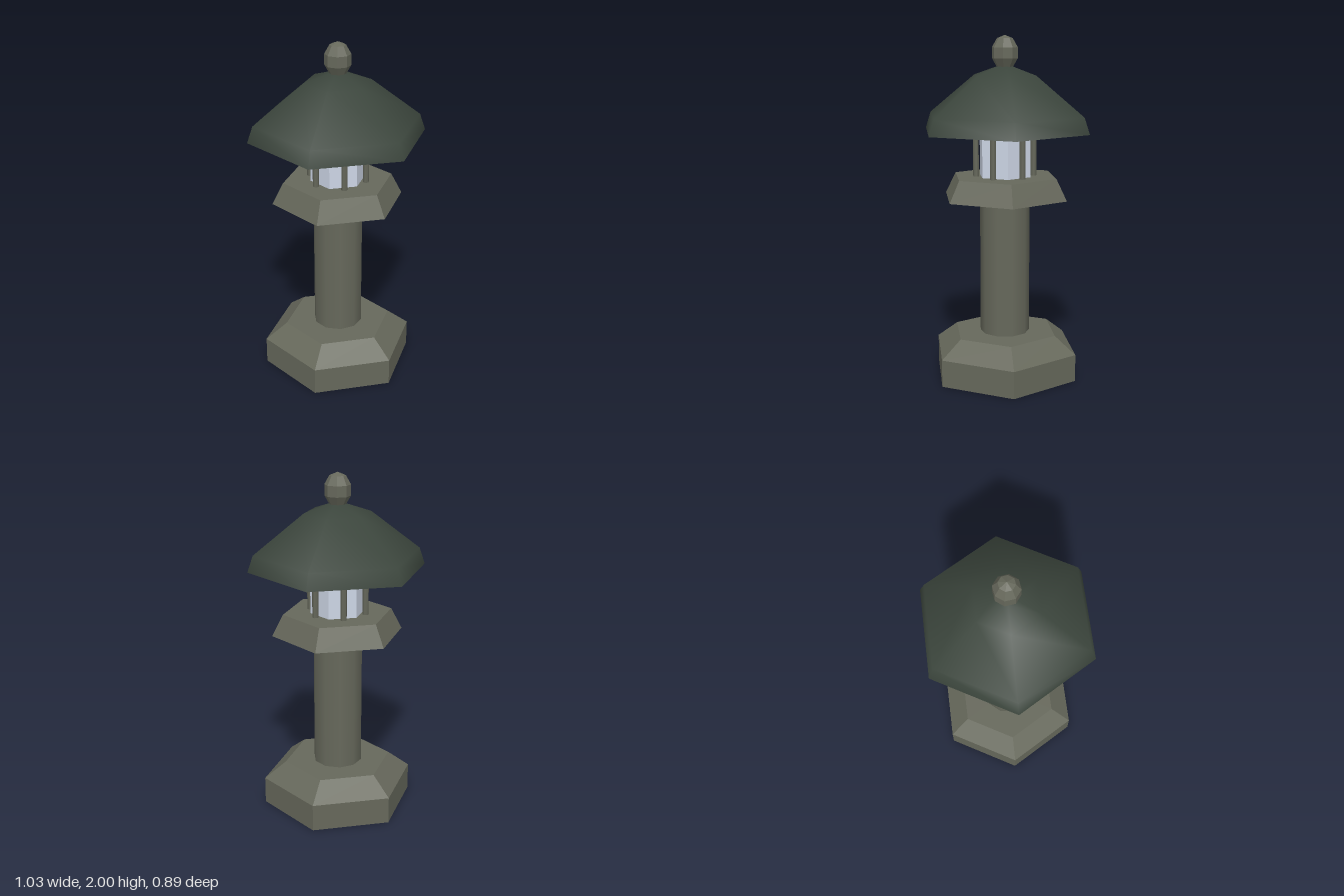
import * as THREE from 'three';

const stone = new THREE.MeshStandardMaterial({ color: 0x66685b });
stone.name = 'stone';
const stoneFlat = stone; // one shared stone; facets come from split normals
const roofGreen = new THREE.MeshStandardMaterial({ color: 0x3b453c });
roofGreen.name = 'dark green roof';
const glass = new THREE.MeshStandardMaterial({ color: 0xcdd6e6 });
glass.name = 'pale glass';

// Split the faces so each one keeps its own flat normal
function faceted(geometry) {
  const flat = geometry.toNonIndexed();
  flat.computeVertexNormals();
  return flat;
}

// Six-sided tapered block with corners on the x axis
function hexBlock(topRadius, bottomRadius, y0, y1) {
  const g = new THREE.CylinderGeometry(topRadius, bottomRadius, y1 - y0, 6, 1, false, Math.PI / 6);
  g.translate(0, (y0 + y1) / 2, 0);
  return faceted(g);
}

export function createModel() {
  const lantern = new THREE.Group();
  lantern.name = 'stoneLantern';

  function add(name, geometry, material, parent = lantern) {
    const mesh = new THREE.Mesh(geometry, material);
    mesh.name = name;
    parent.add(mesh);
    return mesh;
  }

  // Plinth with a bevelled top
  add('plinth', hexBlock(0.45, 0.45, 0, 0.16), stoneFlat);
  add('plinthBevel', hexBlock(0.32, 0.45, 0.16, 0.26), stoneFlat);

  // Smooth round column
  const column = new THREE.CylinderGeometry(0.145, 0.145, 0.81, 10, 1, false, Math.PI / 2);
  add('column', column, stone).position.y = 0.665;

  // Platform under the light chamber
  add('platform', hexBlock(0.32, 0.385, 1.07, 1.195), stoneFlat);

  // Light chamber: glass core ringed by posts in front of each face
  add('glassCore', hexBlock(0.16, 0.16, 1.195, 1.455), glass);
  const posts = new THREE.Group();
  posts.name = 'posts';
  lantern.add(posts);
  const postGeometry = new THREE.CylinderGeometry(0.018, 0.018, 0.26, 6, 1, false, Math.PI / 6);
  for (let i = 0; i < 6; i++) {
    const a = (i * Math.PI) / 3;
    const post = add('post', postGeometry, stone, posts);
    post.position.set(0.168 * Math.sin(a), 1.325, 0.168 * Math.cos(a));
  }

  // Flared six-sided roof, softly shaded, with a flat underside
  const profile = [[0.515, 1.455], [0.482, 1.55], [0.193, 1.775], [0.045, 1.825], [0, 1.825]]
    .map(([r, y]) => new THREE.Vector2(r, y));
  add('roof', new THREE.LatheGeometry(profile, 6, Math.PI / 6), roofGreen);
  const underside = add('roofUnderside', new THREE.CircleGeometry(0.515, 6), roofGreen);
  underside.rotation.x = Math.PI / 2;
  underside.position.y = 1.455;

  // Faceted bud-shaped finial
  const bud = new THREE.SphereGeometry(0.078, 8, 5);
  bud.scale(1, 0.1 / 0.078, 1);
  add('finial', faceted(bud), stoneFlat).position.y = 1.9;

  return lantern;
}
